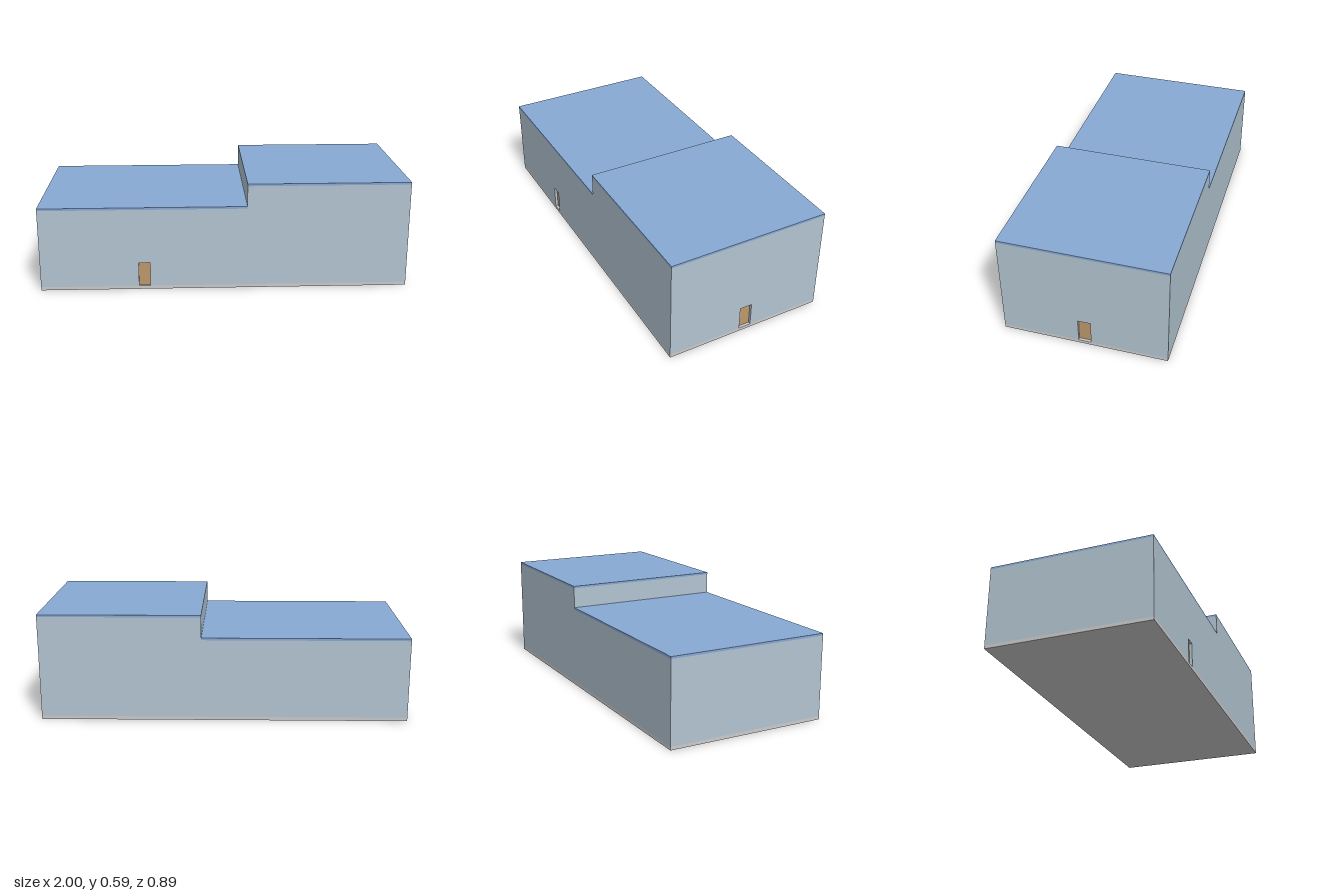
import * as THREE from 'three';

export function createModel() {
  const group = new THREE.Group();
  const mat = (name, color) => {
    const m = new THREE.MeshStandardMaterial({ color });
    m.name = name;
    return m;
  };
  const wallMat = mat('wall blue grey', 0xb2c4d1);
  const roofMat = mat('roof blue', 0x87a9d4);
  const doorMat = mat('door tan', 0xbd986a);
  const slabMat = mat('slab grey', 0xcbcbcb);

  const D = 0.444;       // half depth
  const T = 0.025;       // wall thickness
  const RECESS = 0.015;  // door set-back
  const FLOOR = 0.018, LOW = 0.453, HIGH = 0.577, ROOF = 0.012;
  const STEP = 0.122, DOOR_TOP = 0.152;

  const add = (name, geometry, material) => {
    const mesh = new THREE.Mesh(geometry, material);
    mesh.name = name;
    group.add(mesh);
    return mesh;
  };
  // Box given by its extents along each axis
  const box = (name, material, x0, x1, y0, y1, z0, z1) => {
    const mesh = add(name, new THREE.BoxGeometry(x1 - x0, y1 - y0, z1 - z0), material);
    mesh.position.set((x0 + x1) / 2, (y0 + y1) / 2, (z0 + z1) / 2);
    return mesh;
  };
  // Wall outline, with a doorway cut up from the floor between d0 and d1
  const wall = (name, outline, door) => {
    const pts = outline.map(([x, y]) => new THREE.Vector2(x, y));
    if (door) {
      const [d0, d1] = door;
      pts.splice(1, 0, new THREE.Vector2(d0, FLOOR), new THREE.Vector2(d0, DOOR_TOP),
        new THREE.Vector2(d1, DOOR_TOP), new THREE.Vector2(d1, FLOOR));
    }
    return add(name, new THREE.ExtrudeGeometry(new THREE.Shape(pts), { depth: T, bevelEnabled: false }), wallMat);
  };

  // Floor slab
  box('floorSlab', slabMat, -1, 1, 0, FLOOR, -D, D);

  // Stepped front and back walls
  const longOutline = [[-1, FLOOR], [1, FLOOR], [1, HIGH], [STEP, HIGH], [STEP, LOW], [-1, LOW]];
  const frontDoor = [-0.467, -0.405];
  wall('frontWall', longOutline, frontDoor).position.z = D - T;
  wall('backWall', longOutline).position.z = -D;

  // End walls and the wall above the step
  const w = D - T, sideDoor = [-0.034, 0.034];
  const endWall = wall('leftEndWall', [[-w, FLOOR], [w, FLOOR], [w, HIGH], [-w, HIGH]], sideDoor);
  endWall.rotation.y = Math.PI / 2;
  endWall.position.x = 1 - T;
  box('rightEndWall', wallMat, -1, -1 + T, FLOOR, LOW, -w, w);
  box('stepWall', wallMat, STEP, STEP + T, LOW, HIGH, -w, w);

  // Flat roofs
  box('lowRoof', roofMat, -1, STEP, LOW, LOW + ROOF, -D, D);
  box('highRoof', roofMat, STEP, 1, HIGH, HIGH + ROOF, -D, D);

  // Recessed doors
  box('frontDoor', doorMat, ...frontDoor, FLOOR, DOOR_TOP, D - RECESS - 0.008, D - RECESS);
  box('sideDoor', doorMat, 1 - RECESS - 0.008, 1 - RECESS, FLOOR, DOOR_TOP, ...sideDoor);

  return group;
}
